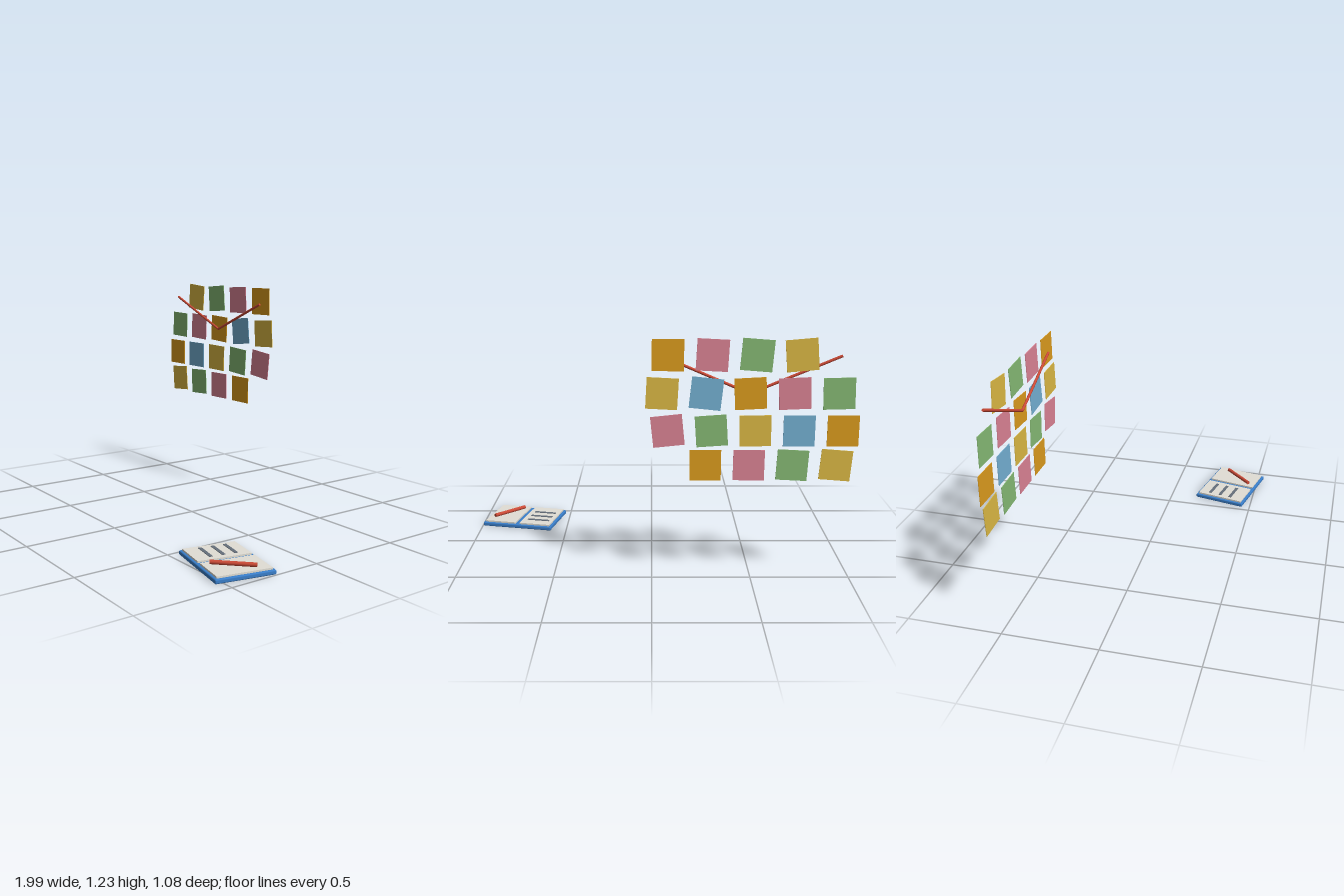
import * as THREE from 'three';
import { RoundedBoxGeometry } from 'three/addons/geometries/RoundedBoxGeometry.js';

const mat = (color) => new THREE.MeshStandardMaterial({ color });
const COLORS = {
  yellow: mat(0xdfbb45), green: mat(0x88bd76), pink: mat(0xdf8597),
  orange: mat(0xdf9e1e), blue: mat(0x76b3d6), red: mat(0xcc4a36),
  cover: mat(0x3a7fcb), paper: mat(0xe2dfd6), ink: mat(0x66707c),
};

function add(parent, name, geometry, material, x = 0, y = 0, z = 0) {
  const mesh = new THREE.Mesh(geometry, material);
  mesh.name = name;
  mesh.position.set(x, y, z);
  parent.add(mesh);
  return mesh;
}

// Round rod between two points
function rod(parent, name, a, b, radius, material) {
  const dir = b.clone().sub(a);
  const mesh = add(parent, name, new THREE.CylinderGeometry(radius, radius, dir.length(), 12), material);
  mesh.position.copy(a).add(b).multiplyScalar(0.5);
  mesh.quaternion.setFromUnitVectors(new THREE.Vector3(0, 1, 0), dir.normalize());
  return mesh;
}

// Staggered rows of sticky notes: first x, y, then [color, tilt in degrees]
const ROWS = [
  [-0.711, 1.148, [['yellow', -5], ['green', 4.5], ['pink', 3], ['orange', 0.5]]],
  [-0.895, 0.963, [['green', -1.5], ['pink', -2.5], ['orange', -3], ['blue', 6], ['yellow', 3]]],
  [-0.922, 0.78, [['orange', 0], ['blue', 0], ['yellow', -1], ['green', -4], ['pink', -6]]],
  [-0.895, 0.608, [['yellow', 4.5], ['green', 3], ['pink', 0.5], ['orange', 0]]],
];

function createNotes() {
  const group = new THREE.Group();
  group.name = 'noteWall';
  const sheet = new THREE.BoxGeometry(0.153, 0.153, 0.003);
  for (const [x0, y, notes] of ROWS) {
    notes.forEach(([color, tilt], i) => {
      const note = add(group, `${color}Note`, sheet, COLORS[color], x0 + i * 0.2115, y, -0.5445);
      note.rotation.z = THREE.MathUtils.degToRad(tilt);
    });
  }
  // Thread stretched across the notes
  const [a, b, c] = [[-0.902, 1.143], [-0.469, 0.962], [-0.075, 1.131]]
    .map(([x, y]) => new THREE.Vector3(x, y, -0.5355));
  rod(group, 'threadRight', a, b, 0.007, COLORS.red);
  rod(group, 'threadLeft', b, c, 0.007, COLORS.red);
  return group;
}

function createNotebook() {
  const book = new THREE.Group();
  book.name = 'notebook';
  add(book, 'cover', new RoundedBoxGeometry(0.415, 0.022, 0.305, 2, 0.006), COLORS.cover, 0, 0.011, 0);
  for (const side of [-1, 1]) {
    add(book, 'page', new THREE.BoxGeometry(0.182, 0.01, 0.28), COLORS.paper, side * 0.104, 0.026, 0);
  }
  // Written lines on one page
  for (const z of [-0.073, -0.008, 0.058]) {
    add(book, 'writtenLine', new THREE.BoxGeometry(0.13, 0.003, 0.018), COLORS.ink, -0.107, 0.032, z);
  }
  book.position.set(0.762, 0, 0.347);
  book.rotation.y = -0.21;
  return book;
}

export function createModel() {
  const model = new THREE.Group();
  model.name = 'noteWallAndNotebook';
  model.add(createNotes(), createNotebook());
  // Pencil resting on the open page
  rod(model, 'pencil', new THREE.Vector3(0.781, 0.0415, 0.457), new THREE.Vector3(0.936, 0.0415, 0.306), 0.0105, COLORS.red);
  return model;
}
